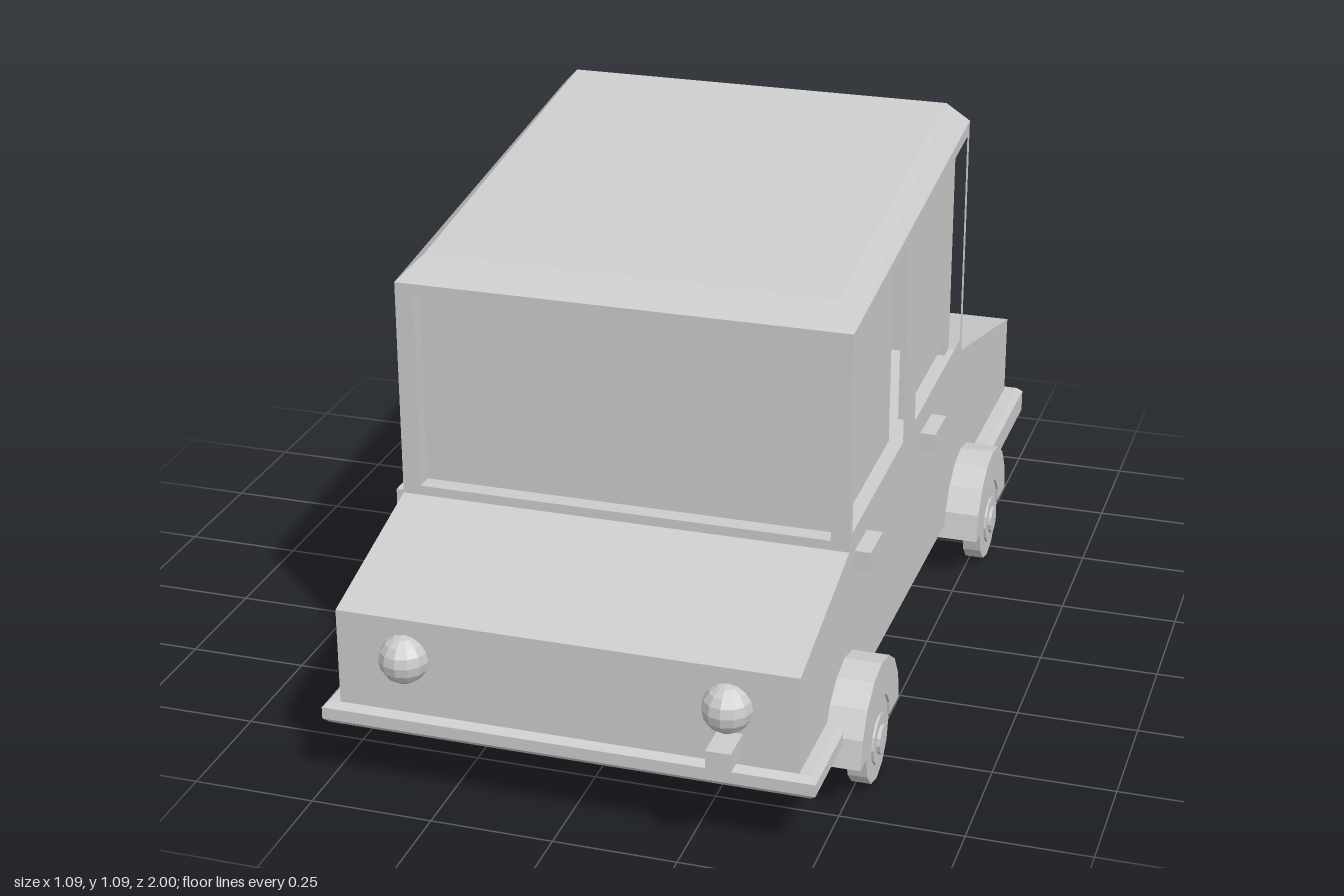
import * as THREE from 'three';
import { ConvexGeometry } from 'three/addons/geometries/ConvexGeometry.js';

const mat = new THREE.MeshStandardMaterial({ color: 0xcccccc, flatShading: true });
const W = 0.465; // half width of the body

function add(parent, name, geo, x = 0, y = 0, z = 0) {
  const m = new THREE.Mesh(geo, mat);
  m.name = name;
  m.position.set(x, y, z);
  parent.add(m);
  return m;
}

// Box given by its x, y and z ranges
function box(parent, name, [x0, x1], [y0, y1], [z0, z1]) {
  return add(parent, name, new THREE.BoxGeometry(x1 - x0, y1 - y0, z1 - z0),
    (x0 + x1) / 2, (y0 + y1) / 2, (z0 + z1) / 2);
}

function shapeOf(points, holes = []) {
  const s = new THREE.Shape(points.map(p => new THREE.Vector2(...p)));
  s.holes = holes.map(h => new THREE.Path(h.map(p => new THREE.Vector2(...p))));
  return s;
}

// Outline of [z, y] points, extruded across the model from x0 to x1
function sideExtrude(points, x0, x1, holes = []) {
  const flip = pts => pts.map(([z, y]) => [-z, y]);
  return new THREE.ExtrudeGeometry(shapeOf(flip(points), holes.map(flip)), { depth: x1 - x0, bevelEnabled: false })
    .rotateY(Math.PI / 2).translate(x0, 0, 0);
}

// U-shaped bumper wrapping one end, with chamfered edges
function bumper(parent, name, end, inner, halfWidth, y0, y1) {
  const b = 0.012, o = halfWidth - b, i = W - 0.03, s = Math.sign(end);
  const ze = end - s * b, zi = end - s * 0.07;
  const geo = new THREE.ExtrudeGeometry(
    shapeOf([[-o, -inner], [-o, -ze], [o, -ze], [o, -inner], [i, -inner], [i, -zi], [-i, -zi], [-i, -inner]]),
    { depth: y1 - y0 - 2 * b, bevelSize: b, bevelThickness: b, bevelSegments: 1 });
  add(parent, name, geo.rotateX(-Math.PI / 2), 0, y0 + b, 0);
}

function wheel(parent, side, z) {
  const g = new THREE.Group();
  g.name = 'wheel';
  const disc = (name, r, x0, x1) => add(g, name,
    new THREE.CylinderGeometry(r, r, x1 - x0, 12).rotateZ(Math.PI / 2), side * (x0 + x1) / 2);
  disc('tyre', 0.09, 0.495, 0.535);
  disc('hub', 0.052, 0.5, 0.54);
  disc('hubCap', 0.03, 0.5, 0.547);
  disc('axle', 0.025, 0.4, 0.5);
  g.position.set(0, 0.091, z);
  parent.add(g);
}

// Half ring over a wheel
function fender(parent, side, z) {
  const arc = (r, n) => Array.from({ length: n + 1 }, (_, k) => {
    const a = Math.PI * k / n;
    return [z + r * Math.cos(a), 0.105 + r * Math.sin(a)];
  });
  const ring = [...arc(0.155, 8), ...arc(0.078, 8).reverse()];
  add(parent, 'fender', sideExtrude(ring, side > 0 ? 0.45 : -0.54, side > 0 ? 0.54 : -0.45));
}

export function createModel() {
  const car = new THREE.Group();
  car.name = 'car';

  // Lower body with sloping bonnet and boot
  add(car, 'body', sideExtrude([[0.92, 0.145], [0.92, 0.387], [0.57, 0.48],
    [-0.42, 0.515], [-0.95, 0.387], [-0.95, 0.13]], -W, W));

  // Cabin sides with window openings, and the recessed panes
  const cabin = [[0.57, 0.478], [0.57, 0.935], [-0.42, 1.05], [-0.42, 0.513]];
  const windows = [
    [[0.55, 0.512], [0.55, 0.915], [0.135, 0.963], [0.135, 0.527]],
    [[0.03, 0.531], [0.03, 0.976], [-0.4, 1.02], [-0.4, 0.547]],
  ];
  for (const s of [-1, 1]) {
    const [x0, x1] = s > 0 ? [0.435, W] : [-W, -0.435];
    add(car, 'cabinSide', sideExtrude(cabin, x0, x1, windows));
    windows.forEach(w => add(car, 'sideWindow', sideExtrude(w, s * 0.432 - 0.003, s * 0.432 + 0.003)));
  }

  // Windscreen and rear window, each in a frame
  for (const [name, z0, y0, y1, w0, w1, pane] of [
    ['windscreen', 0.53, 0.47, 0.935, 0.5, 0.915, 0.53],
    ['rearWindow', -0.42, 0.505, 1.05, 0.547, 1.02, -0.38],
  ]) {
    const rect = (x, a, b) => [[-x, a], [x, a], [x, b], [-x, b]];
    add(car, name + 'Frame', new THREE.ExtrudeGeometry(
      shapeOf(rect(0.436, y0, y1), [rect(0.427, w0, w1)]), { depth: 0.04, bevelEnabled: false }), 0, 0, z0);
    box(car, name, [-0.43, 0.43], [w0 - 0.01, w1 + 0.01], [pane - 0.003, pane + 0.003]);
  }

  // Sloping roof with chamfered rim
  const roof = [];
  for (const s of [-1, 1]) {
    for (const [x, y, z] of [[W, 0.935, 0.57], [W, 1.05, -0.42], [0.42, 0.982, 0.52], [0.42, 1.096, -0.385]]) {
      roof.push(new THREE.Vector3(s * x, y, z));
    }
  }
  add(car, 'roof', new ConvexGeometry(roof));

  bumper(car, 'frontBumper', 0.933, 0.65, 0.5, 0.137, 0.186);
  bumper(car, 'rearBumper', -0.975, -0.56, 0.505, 0.132, 0.205);

  for (const s of [-1, 1]) {
    for (const z of [0.59, -0.455]) {
      wheel(car, s, z);
      fender(car, s, z);
    }
    // Door handles
    const x = s > 0 ? [0.45, 0.498] : [-0.498, -0.45];
    box(car, 'frontDoorHandle', x, [0.425, 0.465], [0.432, 0.53]);
    box(car, 'rearDoorHandle', x, [0.436, 0.48], [-0.13, -0.025]);
    // Lights
    add(car, 'headlight', new THREE.SphereGeometry(0.05, 12, 8), s * 0.325, 0.305, 0.922);
    box(car, 'rearLight', s > 0 ? [0.13, 0.337] : [-0.337, -0.13], [0.25, 0.335], [-1, -0.94]);
  }

  // Small block below the left headlight
  box(car, 'frontBlock', [0.305, 0.355], [0.213, 0.252], [0.91, 1]);
  return car;
}
